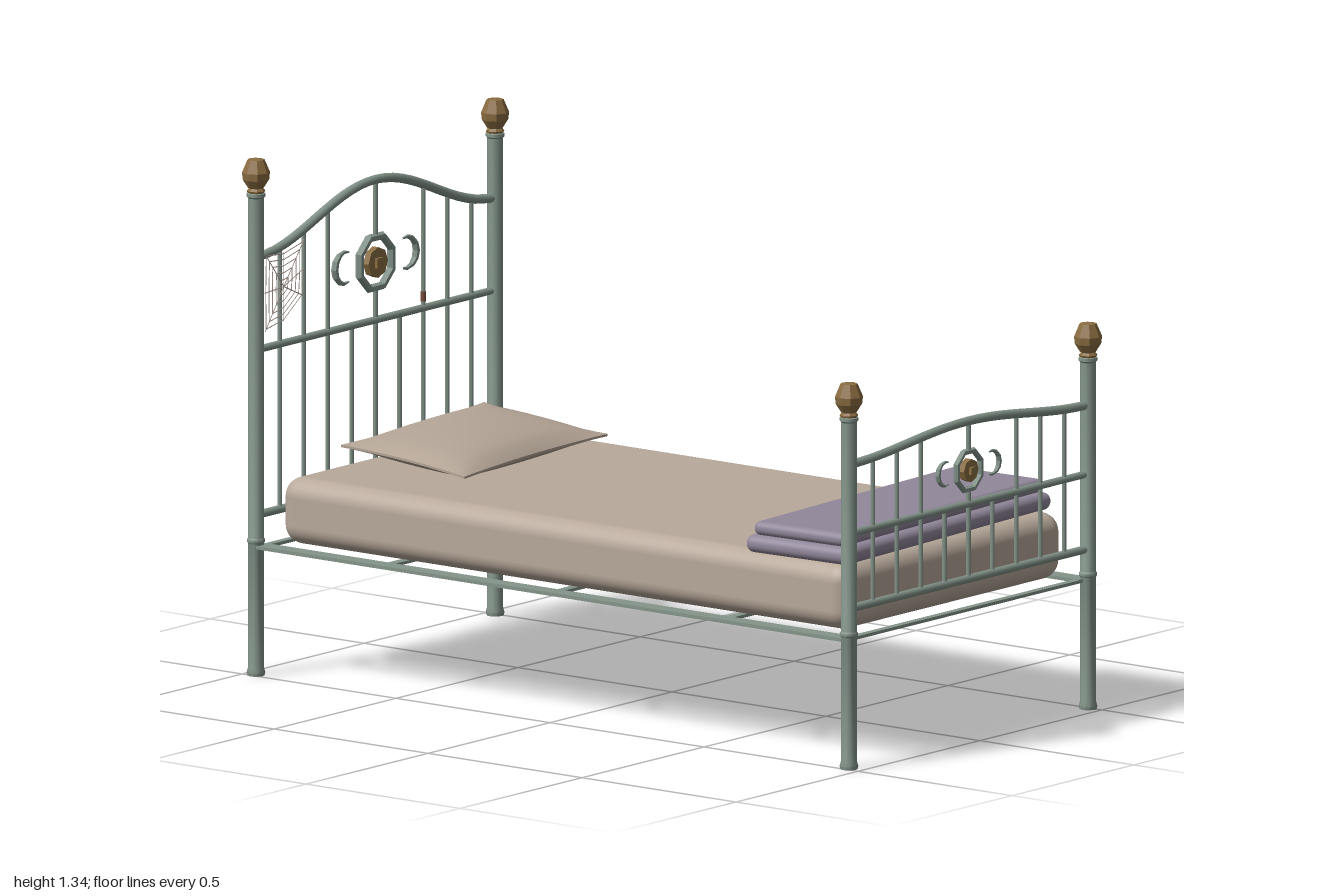
import * as THREE from 'three';
import { RoundedBoxGeometry } from 'three/addons/geometries/RoundedBoxGeometry.js';
import { toCreasedNormals } from 'three/addons/utils/BufferGeometryUtils.js';

const paint = (name, color, extra = {}) => {
  const m = new THREE.MeshStandardMaterial({ color, ...extra });
  m.name = name;
  return m;
};
const iron = paint('paintedIron', 0x84958b);
const brass = paint('agedBrass', 0x8a6d42, { flatShading: true });
const ironFacet = iron.clone();
ironFacet.name = 'facetedIron';
ironFacet.flatShading = true;
const linen = paint('mattressLinen', 0xb8a99b);
const pillowCloth = paint('pillowLinen', 0xb5a697);
const wool = paint('blanketWool', 0x91879a);
const silk = paint('webSilk', 0xb5a59c);
const rust = paint('rust', 0x7a5040);

function add(parent, name, geometry, material, x = 0, y = 0, z = 0) {
  const mesh = new THREE.Mesh(geometry, material);
  mesh.name = name;
  mesh.position.set(x, y, z);
  parent.add(mesh);
  return mesh;
}

// Straight round bar between two points
function bar(parent, name, a, b, r, material = iron, sides = 8) {
  const from = new THREE.Vector3(...a), dir = new THREE.Vector3(...b).sub(from);
  const mesh = add(parent, name, new THREE.CylinderGeometry(r, r, dir.length(), sides), material);
  mesh.position.copy(from).addScaledVector(dir, 0.5);
  mesh.quaternion.setFromUnitVectors(new THREE.Vector3(0, 1, 0), dir.normalize());
  return mesh;
}

const lathe = (points, sides) =>
  new THREE.LatheGeometry(points.map(([r, y]) => new THREE.Vector2(r, y)), sides);

// Corner post with foot, joint rings and a faceted brass knob
function post(parent, x, z, top) {
  const g = new THREE.Group();
  g.name = 'cornerPost';
  g.position.set(x, 0, z);
  parent.add(g);
  const s = top - 0.09;
  const shaft = lathe([[0, 0], [0.022, 0], [0.024, 0.008], [0.02, 0.022], [0.02, 0.343], [0.023, 0.347],
    [0.023, 0.354], [0.02, 0.358], [0.02, s - 0.012], [0.024, s - 0.008], [0.024, s], [0.018, s + 0.004], [0, s + 0.004]], 10);
  add(g, 'postShaft', toCreasedNormals(shaft, 0.7), iron);
  add(g, 'postCollar', lathe([[0, 0], [0.021, 0], [0.024, 0.007], [0.018, 0.014], [0.018, 0.018], [0, 0.018]], 8), brass, 0, s);
  add(g, 'postKnob', lathe([[0, 0.014], [0.02, 0.014], [0.034, 0.036], [0.036, 0.055], [0.022, 0.088], [0, 0.09]], 8), brass, 0, s);
}

// Open scroll, thinning toward both ends, opening toward +x
function scrollGeometry(radius, tube) {
  const arc = Math.PI * 1.25;
  const geo = new THREE.TorusGeometry(radius, tube, 6, 8, arc);
  const p = geo.attributes.position;
  for (let i = 0; i < p.count; i++) {
    const a = Math.atan2(p.getY(i), p.getX(i)), t = (a < -0.01 ? a + Math.PI * 2 : a) / arc;
    const k = 0.25 + 0.75 * Math.sin(Math.PI * Math.min(1, Math.max(0, t)));
    const cx = Math.cos(a) * radius, cy = Math.sin(a) * radius;
    p.setXYZ(i, cx + (p.getX(i) - cx) * k, cy + (p.getY(i) - cy) * k, p.getZ(i) * k);
  }
  geo.rotateZ(Math.PI - arc / 2);
  geo.computeVertexNormals();
  return geo;
}

// Ring, brass rosette and a pair of scrolls
function medallion(parent, y, r) {
  const g = new THREE.Group();
  g.name = 'medallion';
  g.position.y = y;
  parent.add(g);
  const ring = new THREE.TorusGeometry(r * 0.88, r * 0.14, 6, 8);
  ring.rotateZ(Math.PI / 8);
  add(g, 'medallionRing', ring, ironFacet);
  const disc = new THREE.CylinderGeometry(r * 0.5, r * 0.5, 0.018, 8);
  disc.rotateX(Math.PI / 2);
  add(g, 'rosette', disc, brass);
  const boss = new THREE.BoxGeometry(r * 0.32, r * 0.32, 0.034);
  add(g, 'rosetteBoss', boss, brass);
  for (const s of [-1, 1]) {
    const scroll = add(g, 'scroll', scrollGeometry(r * 0.52, r * 0.12), ironFacet, s * r * 1.57, 0.005, 0);
    if (s > 0) scroll.rotation.y = Math.PI;
  }
}

// Bed end: posts, arched top rail, cross rails, spindles and ornament
function bedEnd(name, z, top, railEnd, rise, mid, midR, medalY, medalR) {
  const g = new THREE.Group();
  g.name = name;
  g.position.z = z;
  const archY = x => railEnd + rise * (Math.cos(Math.PI * x / 0.49) + 1) / 2;
  const pts = [];
  for (let i = 0; i <= 14; i++) {
    const x = -0.48 + 0.96 * i / 14;
    pts.push(new THREE.Vector3(x, archY(x), 0));
  }
  add(g, 'archedRail', new THREE.TubeGeometry(new THREE.CatmullRomCurve3(pts), 28, 0.012, 8), iron);
  bar(g, 'middleRail', [-0.48, mid, 0], [0.48, mid, 0], midR);
  bar(g, 'lowerRail', [-0.48, 0.416, 0], [0.48, 0.416, 0], 0.011);
  for (let i = -4; i <= 4; i++) {
    const x = i * 0.098;
    bar(g, 'lowerSpindle', [x, 0.416, 0], [x, mid, 0], 0.006);
    if (Math.abs(i) > 1) bar(g, 'upperSpindle', [x, mid, 0], [x, archY(x), 0], 0.006);
  }
  bar(g, 'medallionStem', [0, mid, 0], [0, medalY - medalR * 0.85, 0], 0.006);
  bar(g, 'medallionStem', [0, medalY + medalR * 0.85, 0], [0, archY(0), 0], 0.006);
  medallion(g, medalY, medalR);
  for (const s of [-1, 1]) post(g, s * 0.49, 0, top);
  return g;
}

// Cobweb: spokes from a hub, joined by shrinking rings
function cobweb() {
  const g = new THREE.Group();
  g.name = 'cobweb';
  const hub = [-0.39, 0.995];
  const rim = [[-0.306, 1.105], [-0.39, 1.085], [-0.465, 1.09], [-0.468, 0.99], [-0.466, 0.89], [-0.39, 0.905], [-0.312, 0.96], [-0.306, 1.03]];
  const at = (i, t) => {
    const [x, y] = rim[i % rim.length];
    return [hub[0] + (x - hub[0]) * t, hub[1] + (y - hub[1]) * t, 0];
  };
  rim.forEach((_, i) => {
    bar(g, 'webSpoke', at(i, 0), at(i, 1), 0.0014, silk, 4);
    for (const t of [0.2, 0.4, 0.6, 0.78, 0.95]) bar(g, 'webStrand', at(i, t), at(i + 1, t), 0.0014, silk, 4);
  });
  g.position.z = -0.952;
  return g;
}

// Cushion with pinched, pointed corners and a thin seam
function pillowGeometry(w, d, h) {
  const geo = new THREE.BoxGeometry(2, 2, 2, 16, 1, 12);
  const p = geo.attributes.position;
  for (let i = 0; i < p.count; i++) {
    const u = p.getX(i), v = p.getZ(i), side = Math.sign(p.getY(i));
    const puff = Math.pow(Math.max(0, (1 - u * u) * (1 - v * v)), 0.55);
    p.setXYZ(i, u * w / 2 * (1 - 0.06 * (1 - v * v)), side * (0.003 + puff * h / 2), v * d / 2 * (1 - 0.07 * (1 - u * u)));
  }
  geo.computeVertexNormals();
  return geo;
}

export function createModel() {
  const bed = new THREE.Group();
  bed.name = 'bed';

  const head = bedEnd('headboard', -0.963, 1.342, 1.085, 0.125, 0.845, 0.010, 0.995, 0.08);
  const foot = bedEnd('footboard', 0.963, 1.003, 0.79, 0.036, 0.611, 0.010, 0.698, 0.06);
  bed.add(head, foot, cobweb());
  bar(head, 'rustPatch', [0.196, 0.862, 0], [0.196, 0.888, 0], 0.0068, rust);

  // Flat side rails and slats
  for (const s of [-1, 1]) add(bed, 'sideRail', new THREE.BoxGeometry(0.045, 0.009, 1.92), iron, s * 0.482, 0.335, 0);
  for (const z of [-0.55, 0, 0.55]) add(bed, 'slat', new THREE.BoxGeometry(0.94, 0.008, 0.025), iron, 0, 0.334, z);
  for (const z of [-0.95, 0.95]) add(bed, 'endRail', new THREE.BoxGeometry(0.95, 0.008, 0.02), iron, 0, 0.334, z);

  // Mattress, folded blanket and pillow
  add(bed, 'mattress', new RoundedBoxGeometry(0.904, 0.173, 1.845, 5, 0.05), linen, 0, 0.427, 0);
  const blanket = new THREE.Group();
  blanket.name = 'foldedBlanket';
  blanket.position.set(0.005, 0, 0.732);
  blanket.rotation.y = 0.05;
  bed.add(blanket);
  add(blanket, 'lowerFold', new RoundedBoxGeometry(0.905, 0.046, 0.325, 4, 0.022), wool, 0, 0.533, 0);
  add(blanket, 'upperFold', new RoundedBoxGeometry(0.88, 0.036, 0.288, 4, 0.017), wool, 0, 0.573, 0);
  const pillow = add(bed, 'pillow', pillowGeometry(0.64, 0.385, 0.08), pillowCloth, 0.035, 0.563, -0.67);
  pillow.rotation.set(0.1, 0.065, 0);
  return bed;
}
